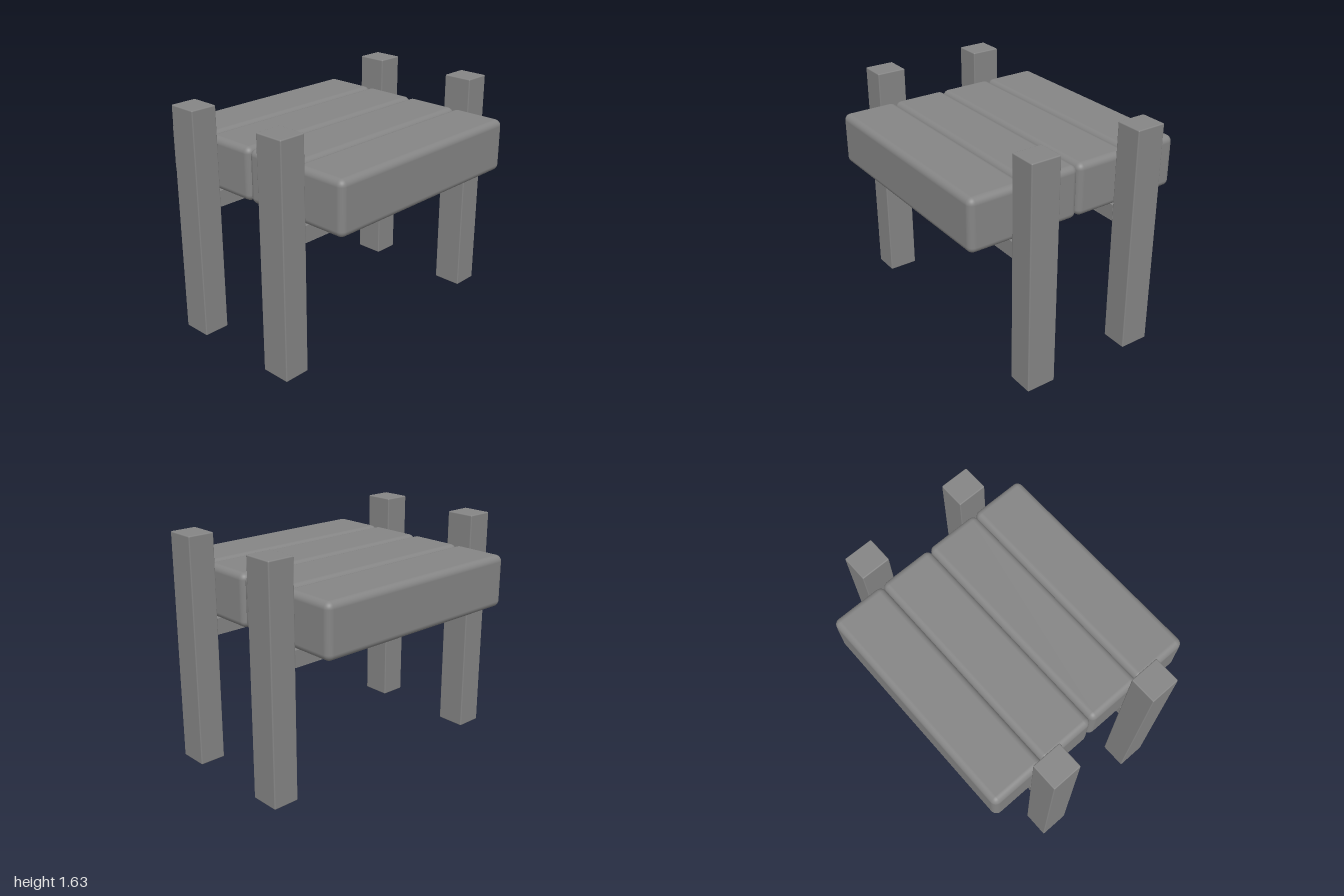
import * as THREE from 'three';
import { RoundedBoxGeometry } from 'three/addons/geometries/RoundedBoxGeometry.js';

export function createModel() {
  const model = new THREE.Group();
  model.name = 'plankTable';
  const material = new THREE.MeshStandardMaterial({ color: 0x858585 });

  function add(name, geometry, x, y, z) {
    const mesh = new THREE.Mesh(geometry, material);
    mesh.name = name;
    mesh.position.set(x, y, z);
    model.add(mesh);
  }

  const topZ = 0.81;       // half length of the planks
  const plankWidth = 0.406;
  const plankBottom = 1.033, plankHeight = 0.37;

  // Four thick, soft-edged planks side by side
  const plank = new RoundedBoxGeometry(plankWidth, plankHeight, topZ * 2, 5, 0.045);
  for (let i = 0; i < 4; i++) {
    add('plank' + (i + 1), plank, (i - 1.5) * plankWidth, plankBottom + plankHeight / 2, 0);
  }

  // Posts at the ends of the planks, joined in pairs by rails underneath
  const postHeight = 1.627, postWidth = 0.213, postDepth = 0.19;
  const post = new RoundedBoxGeometry(postWidth, postHeight, postDepth, 2, 0.008);
  const railBottom = 0.918;
  const rail = new THREE.BoxGeometry(postWidth - 0.005, plankBottom - railBottom, topZ * 2);
  for (const [side, sx] of [['Left', 1], ['Right', -1]]) {
    const x = sx * plankWidth;
    add('rail' + side, rail, x, (plankBottom + railBottom) / 2, 0);
    add('frontPost' + side, post, x, postHeight / 2, topZ + postDepth / 2);
    add('backPost' + side, post, x, postHeight / 2, -topZ - postDepth / 2);
  }

  return model;
}
